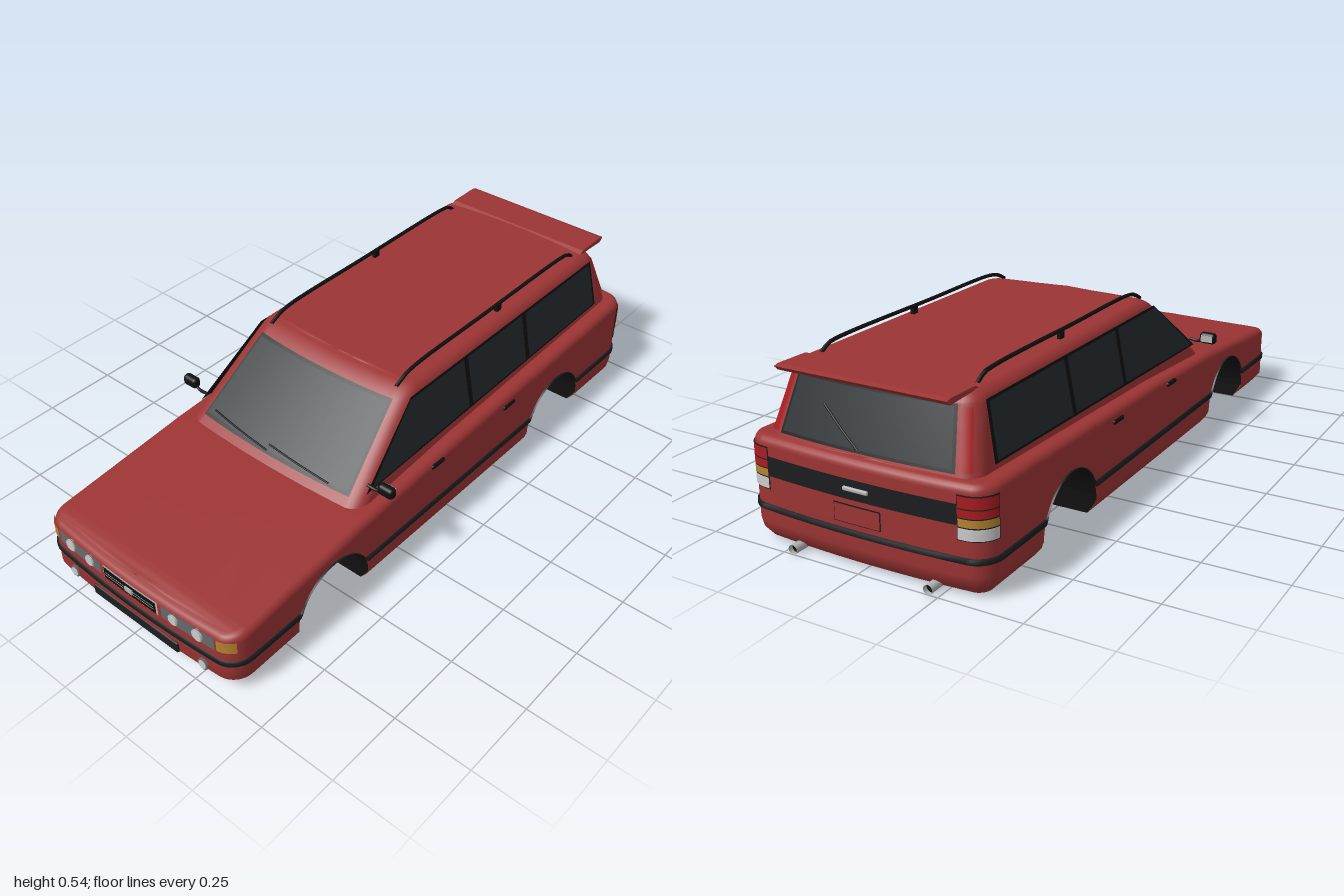
import * as THREE from 'three';
import { RoundedBoxGeometry } from 'three/addons/geometries/RoundedBoxGeometry.js';

const paint = (color) => new THREE.MeshStandardMaterial({ color, side: THREE.DoubleSide });
const RED = paint(0x9c3434), BLACK = paint(0x101010), TRIM = paint(0x1b1d1f), GLASS = paint(0x252b2e),
  CHROME = paint(0xb4b4b4), GREY = paint(0x66696b), LAMP = paint(0xc8c8c8), AMBER = paint(0xb58230), TAIL = paint(0xa81c20);

const BODY = { w: 0.385, r: 0.06, bow: 0.02 };
const FLOOR = 0.01, ARCHES = [0.575, -0.55], ARCH_R = 0.15, ARCH_Y = 0.055, ROUND = 0.025;

// Piecewise linear height of the bonnet and belt line along z
const BELT = [[-1, 0.315], [0, 0.285], [0.44, 0.26], [0.95, 0.213], [1, 0.204]];
function beltY(z) {
  for (let i = 1; i < BELT.length; i++) {
    const [z0, y0] = BELT[i - 1], [z1, y1] = BELT[i];
    if (z <= z1) return y0 + (y1 - y0) * (z - z0) / (z1 - z0);
  }
  return 0.204;
}

// Cabin half width, windscreen and tailgate lines by height
const cabinW = (y) => 0.345 - (y - 0.26) * 0.2;
const cabinFront = (y) => 0.46 - (y - 0.25) * 1.19;
const cabinRear = (y) => -0.965 + (y - 0.31) * 0.37;

// Point at distance u along a bowed end with rounded corners: x, setback, normal
function edge(u, { w, r, bow }) {
  const a = Math.max(0, (u - (w - r)) / r);
  const x = a > 0 ? w - r + r * Math.sin(a) : u;
  return [x, r * (1 - Math.cos(a)) + bow * (x / w) ** 2, Math.sin(a), Math.cos(a)];
}

// Closed plan outline, from the front centre round the left side to the rear and back
function outline(dim, zf, zr, stations = []) {
  const us = [0, 0.25, 0.5, 0.75].map((k) => k * (dim.w - dim.r));
  for (let i = 0; i <= 7; i++) us.push(dim.w - dim.r + dim.r * i / 7 * Math.PI / 2);
  const end = (z, s) => us.map((u) => {
    const [x, d, nx, nz] = edge(u, dim);
    return { x, z: z - s * d, nx, nz: s * nz, y0: FLOOR };
  });
  const half = [...end(zf, 1), ...stations.map(([z, y0]) => ({ x: dim.w, z, nx: 1, nz: 0, y0 })), ...end(zr, -1).reverse()];
  return [...half, ...half.slice(1, -1).reverse().map((p) => ({ ...p, x: -p.x, nx: -p.nx }))];
}

// Skin over rows of points
function loft(rows, closed) {
  const n = rows[0].length, index = [], m = closed ? n : n - 1;
  for (let j = 0; j < rows.length - 1; j++) for (let i = 0; i < m; i++) {
    const a = j * n + i, b = j * n + (i + 1) % n;
    index.push(a, b, b + n, a, b + n, a + n);
  }
  const g = new THREE.BufferGeometry();
  g.setAttribute('position', new THREE.Float32BufferAttribute(rows.flat(2), 3));
  g.setIndex(index);
  g.computeVertexNormals();
  return g;
}

// Four-cornered panel (bottom pair, top pair) laid on a surface by map(u, v)
function panelGeometry([a, b, c, d], map, n = 10) {
  const mix = (p, q, t) => [p[0] + (q[0] - p[0]) * t, p[1] + (q[1] - p[1]) * t];
  const steps = Array.from({ length: n + 1 }, (_, i) => i / n);
  return loft(steps.map((v) => steps.map((u) => map(...mix(mix(a, b, u), mix(d, c, u), v)))), false);
}
const rect = (u0, u1, y0, y1) => [[u0, y0], [u1, y0], [u1, y1], [u0, y1]];

// Surface maps: body ends, cabin ends, cabin sides
const bodyEnd = (s, off) => (u, y) => {
  const [x, d, nx, nz] = edge(Math.abs(u), BODY);
  return [Math.sign(u) * (x + off * nx), y, s * (0.99 - d + off * nz)];
};
const cabinEnd = (s, off) => (u, y) => {
  const [x, d, nx, nz] = edge(Math.abs(u), { w: cabinW(y), r: 0.05, bow: 0.02 });
  return [Math.sign(u) * (x + off * nx), y + off * 0.5, (s > 0 ? cabinFront(y) : cabinRear(y)) - s * (d - off * nz)];
};
const cabinSide = (s, off) => (z, y) => [s * (cabinW(y) + off), y, z];

export function createModel() {
  const car = new THREE.Group();
  car.name = 'estateCarBody';
  const add = (name, geometry, material, x = 0, y = 0, z = 0) => {
    const m = new THREE.Mesh(geometry, material);
    m.name = name;
    m.position.set(x, y, z);
    car.add(m);
    return m;
  };
  const panel = (name, corners, map, mat) => add(name, panelGeometry(corners, map), mat);
  const tube = (name, pts, r, mat) => add(name, new THREE.TubeGeometry(
    new THREE.CatmullRomCurve3(pts.map((p) => new THREE.Vector3(...p)), false, 'centripetal'), 40, r, 8), mat);

  // Lower body with wheel arches cut into the sides
  const stations = [];
  for (const c of ARCHES) {
    stations.push([c + ARCH_R, FLOOR]);
    for (let i = 0; i <= 24; i++) {
      const a = Math.PI * i / 24;
      stations.push([c + ARCH_R * Math.cos(a), ARCH_Y + ARCH_R * Math.sin(a)]);
    }
    stations.push([c - ARCH_R, FLOOR]);
    if (c > 0) for (const z of [0.25, 0.0, -0.2]) stations.push([z, FLOOR]);
  }
  const plan = outline(BODY, 0.99, -0.99, stations);
  const inset = (p, y, d) => [p.x - p.nx * d, y, p.z - p.nz * d];
  const sill = (y) => Math.max(0, 0.045 - y) * 0.85;
  const rows = [0, 0.1, 0.2, 0.5, 0.8, 1].map((v) => plan.map((p) => {
    const y = p.y0 + (beltY(p.z) - ROUND - p.y0) * v;
    return inset(p, y, sill(y));
  }));
  for (let i = 1; i <= 5; i++) {
    const a = i / 5 * Math.PI / 2;
    rows.push(plan.map((p) => inset(p, beltY(p.z) - ROUND * (1 - Math.sin(a)), ROUND * (1 - Math.cos(a)))));
  }
  const rim = rows[rows.length - 1];
  for (const s of [0.8, 0.5, 0.2, 0]) rows.push(rim.map(([x, y, z]) => [x * s, y + 0.004 * (1 - s * s), z]));
  add('lowerBody', loft(rows, true), RED);

  // Floor pan and wheel wells
  const clampX = (x) => Math.max(-0.24, Math.min(0.24, x));
  const foot = rows[0];
  const under = loft([
    foot.map(([, , z]) => [0, FLOOR, z]), foot.map(([x, , z]) => [clampX(x), FLOOR, z]),
    foot.map(([x, y, z]) => [clampX(x), y, z]), foot], true).toNonIndexed();
  under.computeVertexNormals();
  add('floorAndWheelWells', under, BLACK);

  // Rubber strip round the body
  add('rubStrip', loft([[0.101, 0], [0.103, 0.006], [0.117, 0.006], [0.119, 0]].map(([y, d]) =>
    plan.map((p) => inset(p, Math.max(y, p.y0), -d))), true), TRIM);

  // Cabin and roof
  const cabinRow = (y, d) => outline({ w: cabinW(y), r: 0.05, bow: 0.02 }, cabinFront(y), cabinRear(y),
    [0.02, -0.3, -0.6].map((z) => [z, 0])).map((p) => inset(p, y, d));
  const shell = [0.25, 0.3, 0.36, 0.42, 0.48].map((y) => cabinRow(y, 0));
  for (let i = 1; i <= 6; i++) {
    const a = i / 6 * Math.PI / 2;
    shell.push(cabinRow(0.48 + 0.03 * Math.sin(a), 0.03 * (1 - Math.cos(a))));
  }
  const roof = shell[shell.length - 1];
  for (const s of [0.8, 0.5, 0.2, 0]) shell.push(roof.map(([x, y, z]) => [x * s, y + 0.005 * (1 - s * s), z]));
  add('cabin', loft(shell, true), RED);

  // Windscreen, rear window and wipers
  const screen = (h, y0, y1, t) => [[-h, y0], [h, y0], [t, y1], [-t, y1]];
  panel('windscreenSeal', screen(0.296, 0.283, 0.482, 0.262), cabinEnd(1, 0.003), BLACK);
  panel('windscreen', screen(0.286, 0.291, 0.475, 0.254), cabinEnd(1, 0.005), GLASS);
  panel('rearWindowSeal', screen(0.278, 0.322, 0.482, 0.252), cabinEnd(-1, 0.003), BLACK);
  panel('rearWindow', screen(0.268, 0.33, 0.475, 0.244), cabinEnd(-1, 0.005), GLASS);
  for (const x of [-0.26, -0.02])
    tube('windscreenWiper', [0, 0.12, 0.24].map((d) => cabinEnd(1, 0.008)(x + d, 0.303 - d * 0.05)), 0.003, BLACK);
  tube('rearWiper', [[0.01, 0.33], [0.07, 0.37], [0.14, 0.42]].map(([x, y]) => cabinEnd(-1, 0.008)(x, y)), 0.003, BLACK);

  // Nose: grille, intake
  panel('grilleFrame', rect(-0.112, 0.112, 0.148, 0.197), bodyEnd(1, 0.003), CHROME);
  panel('grille', rect(-0.107, 0.107, 0.152, 0.193), bodyEnd(1, 0.005), BLACK);
  for (const y of [0.168, 0.178]) panel('grilleBar', rect(-0.1, 0.1, y - 0.0015, y + 0.0015), bodyEnd(1, 0.007), CHROME);
  add('grilleBlock', new THREE.BoxGeometry(0.03, 0.016, 0.006), CHROME, 0, 0.173, 0.996);
  add('lowerIntake', new RoundedBoxGeometry(0.352, 0.038, 0.012, 3, 0.006), TRIM, 0, 0.057, 0.986);

  // Tailgate: band, handle, plate recess, spoiler
  panel('tailgateBand', rect(-0.3, 0.3, 0.205, 0.262), bodyEnd(-1, 0.003), TRIM);
  add('tailgateHandle', new RoundedBoxGeometry(0.08, 0.012, 0.012, 2, 0.004), CHROME, 0, 0.235, -0.993);
  panel('plateFrame', rect(-0.075, 0.075, 0.135, 0.19), bodyEnd(-1, 0.002), TRIM);
  panel('plateRecess', rect(-0.072, 0.072, 0.138, 0.187), bodyEnd(-1, 0.004), RED);
  const fin = new THREE.Shape([[0.82, 0.508], [0.95, 0.502], [0.965, 0.516], [0.95, 0.52], [0.84, 0.518]]
    .map((p) => new THREE.Vector2(...p)));
  add('roofSpoiler', new THREE.ExtrudeGeometry(fin, { depth: 0.54, bevelEnabled: false }).rotateY(Math.PI / 2), RED, -0.27);

  for (const s of [1, -1]) {
    // Side windows on a dark surround
    const side = [
      [[0.355, 0.306], [-0.12, 0.318], [-0.12, 0.481], [0.14, 0.481]],
      [[-0.14, 0.318], [-0.43, 0.324], [-0.43, 0.481], [-0.14, 0.481]],
      [[-0.45, 0.324], [-0.84, 0.332], [-0.83, 0.481], [-0.45, 0.481]]];
    panel('sideWindowSurround', [[0.38, 0.299], [-0.853, 0.325], [-0.84, 0.488], [0.135, 0.488]], cabinSide(s, 0.002), BLACK);
    for (const q of side) panel('sideWindow', q, cabinSide(s, 0.004), GLASS);

    // Headlamps, indicators and fog lamps
    const disc = (name, x, y, r, mat, off) => add(name, new THREE.CylinderGeometry(r, r, 0.008, 24).rotateX(Math.PI / 2),
      mat, s * x, y, bodyEnd(1, off)(x, y)[2]);
    panel('headlampHousing', rect(s * 0.125, s * 0.318, 0.15, 0.196), bodyEnd(1, 0.003), GREY);
    for (const [x, r] of [[0.172, 0.018], [0.26, 0.02]]) {
      disc('headlampRing', x, 0.172, r, CHROME, 0.003);
      disc('headlamp', x, 0.172, r - 0.003, LAMP, 0.005);
    }
    panel('indicator', rect(s * 0.325, s * 0.38, 0.154, 0.194), bodyEnd(1, 0.003), AMBER);
    disc('fogLampRing', 0.268, 0.06, 0.019, GREY, 0.001);
    disc('fogLamp', 0.268, 0.06, 0.014, LAMP, 0.003);

    // Tail lamps and pillar lamps
    panel('tailLampSurround', rect(s * 0.3, s * 0.412, 0.165, 0.288), bodyEnd(-1, 0.002), TRIM);
    for (const [y0, y1, mat] of [[0.168, 0.2, LAMP], [0.203, 0.225, AMBER], [0.228, 0.25, TAIL], [0.253, 0.285, TAIL]])
      panel('tailLamp', rect(s * 0.303, s * 0.408, y0, y1), bodyEnd(-1, 0.004), mat);
    panel('pillarLamp', [[s * 0.288, 0.325], [s * 0.32, 0.325], [s * 0.29, 0.475], [s * 0.262, 0.475]], cabinEnd(-1, 0.003), TAIL);

    // Door handles
    for (const z of [0.1, -0.27])
      add('doorHandle', new RoundedBoxGeometry(0.014, 0.013, 0.06, 2, 0.005), BLACK, s * 0.384, 0.258, z);

    // Door mirror
    add('mirrorHousing', new RoundedBoxGeometry(0.056, 0.037, 0.03, 4, 0.013), BLACK, s * 0.398, 0.335, 0.36);
    panel('mirrorGlass', rect(s * 0.378, s * 0.418, 0.324, 0.346), (x, y) => [x, y, 0.3445], CHROME);
    tube('mirrorStalk', [[s * 0.33, 0.322, 0.365], [s * 0.36, 0.319, 0.363], [s * 0.385, 0.328, 0.36]], 0.005, BLACK);

    // Roof rail with its middle post
    tube('roofRail', [[0.505, 0.14], [0.524, 0.1], [0.533, 0.05], [0.534, -0.3], [0.533, -0.72], [0.527, -0.77], [0.508, -0.8]]
      .map(([y, z]) => [s * 0.25, y, z]), 0.006, BLACK);
    add('roofRailPost', new THREE.BoxGeometry(0.012, 0.026, 0.022), BLACK, s * 0.25, 0.521, -0.37);

    // Exhaust tip
    add('exhaustTip', new THREE.CylinderGeometry(0.014, 0.014, 0.07, 20, 1, true).rotateX(Math.PI / 2), CHROME, s * 0.22, 0.014, -0.965);
    add('exhaustBore', new THREE.CircleGeometry(0.0135, 20), BLACK, s * 0.22, 0.014, -0.985);
  }
  return car;
}
